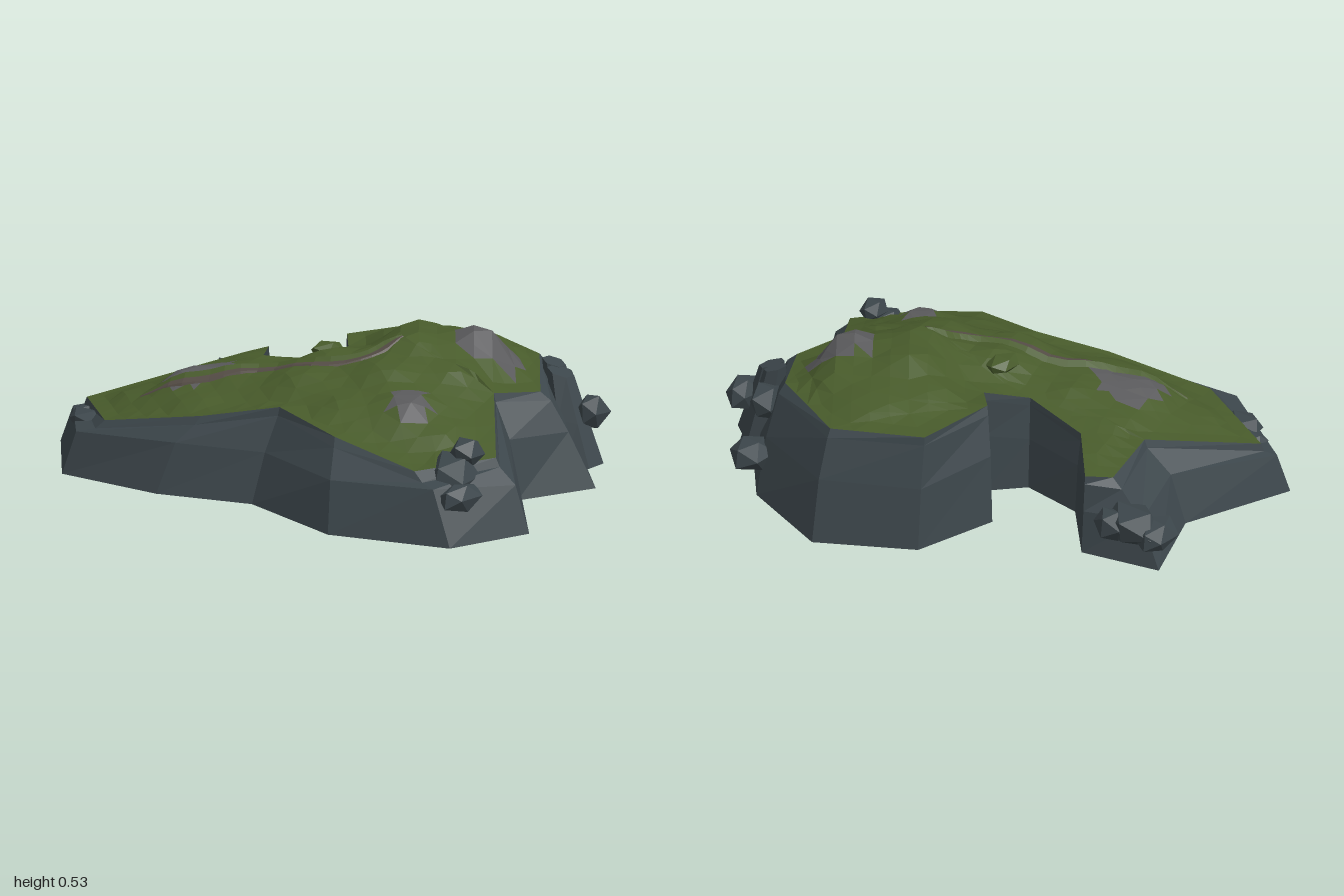
import * as THREE from 'three';

const mat = (color) => new THREE.MeshStandardMaterial({ color, flatShading: true, roughness: 1, side: THREE.DoubleSide });
const CLIFF = mat(0x3c464b), GRASS = mat(0x485b2b), STONE = mat(0x5a5a5c), PATH = mat(0x544c45);

// Shoreline corners: foot x, foot z, grass rim x, grass rim z, rim height
const CORNERS = [
  [0.13, -0.81, 0.13, -0.69, 0.41], [-0.19, -0.61, -0.16, -0.53, 0.41], [-0.28, -0.31, -0.2, -0.24, 0.42],
  [-0.13, -0.17, -0.11, -0.15, 0.4], [-0.24, -0.05, -0.22, -0.02, 0.36], [-0.47, -0.07, -0.47, -0.05, 0.32],
  [-0.64, -0.26, -0.63, -0.24, 0.3], [-0.91, -0.18, -0.69, -0.16, 0.28], [-0.82, 0.12, -0.64, 0.1, 0.29],
  [-1, 0.54, -0.89, 0.49, 0.185], [-0.65, 0.81, -0.54, 0.69, 0.2], [-0.22, 0.73, -0.14, 0.58, 0.27],
  [0.11, 0.58, 0.12, 0.45, 0.325], [0.52, 0.63, 0.43, 0.5, 0.29], [0.9, 0.46, 0.73, 0.44, 0.22],
  [1, 0.17, 0.87, 0.19, 0.24], [0.76, -0.08, 0.63, -0.1, 0.36], [0.88, -0.38, 0.69, -0.29, 0.34],
  [0.5, -0.72, 0.49, -0.55, 0.4],
];
// Hill heights: x, z, y
const HILL = [
  [0.15, -0.25, 0.54], [0.4, -0.3, 0.54], [0.25, -0.1, 0.53], [-0.03, -0.3, 0.48], [0.1, -0.5, 0.47],
  [0.32, -0.48, 0.48], [0.5, -0.1, 0.46], [0.3, 0.1, 0.46], [0, 0.05, 0.46], [0.05, 0.25, 0.42],
  [0.5, 0.2, 0.39], [0.68, 0.2, 0.31], [0.3, 0.33, 0.37], [-0.25, 0.27, 0.38], [-0.3, 0.1, 0.39],
  [-0.5, 0.1, 0.34], [-0.45, 0.35, 0.34], [-0.65, 0.45, 0.25], [-0.25, 0.5, 0.31], [-0.55, -0.05, 0.32],
];
// Bare stone patches: x, z, radius
const PATCHES = [[0.43, -0.3, 0.15], [0.51, 0.21, 0.1], [-0.42, 0.33, 0.16]];

const N = CORNERS.length, STEPS = 16;
const samples = HILL.map(([x, z, y]) => [x, z, y, 5, 0.006]);
CORNERS.forEach(([, , x, z, y], i) => {
  const n = CORNERS[(i + 1) % N];
  for (let k = 0; k < STEPS; k++) {
    const t = k / STEPS;
    samples.push([x + (n[2] - x) * t, z + (n[3] - z) * t, y + (n[4] - y) * t, 0.6, 1e-7]);
  }
});

// Ground height by weighted distance: exact on the rim, smoothed on the hill
function ground(x, z) {
  let sum = 0, total = 0;
  for (const [sx, sz, sy, k, soft] of samples) {
    const w = k / ((x - sx) ** 2 + (z - sz) ** 2 + soft) ** 1.7;
    sum += w * sy;
    total += w;
  }
  let y = sum / total;
  for (const [px, pz, r] of PATCHES) y += 0.02 * Math.max(0, 1 - Math.hypot(x - px, z - pz) / r);
  return y;
}

function meshFrom(name, points, material) {
  const geometry = new THREE.BufferGeometry().setFromPoints(points);
  geometry.computeVertexNormals();
  const mesh = new THREE.Mesh(geometry, material);
  mesh.name = name;
  return mesh;
}

const quad = (out, a, b, c, d) => out.push(a, b, c, a, c, d);

// Grass top and stone patches: the rim polygon, halved along long edges into facets
function addHill(group) {
  const flat = CORNERS.map((c) => new THREE.Vector2(c[2], -c[3]));
  const grass = [], stone = [];
  const split = (a, b, c) => {
    const ab = a.distanceTo(b), bc = b.distanceTo(c), ca = c.distanceTo(a);
    const longest = Math.max(ab, bc, ca);
    if (longest > ab) return longest === bc ? split(b, c, a) : split(c, a, b);
    if (longest > 0.1) {
      const m = a.clone().add(b).multiplyScalar(0.5);
      split(a, m, c);
      split(m, b, c);
      return;
    }
    const cx = (a.x + b.x + c.x) / 3, cz = -(a.y + b.y + c.y) / 3;
    const bare = PATCHES.some(([x, z, r]) => Math.hypot(cx - x, cz - z) < r * 0.85);
    for (const p of [a, b, c]) (bare ? stone : grass).push(new THREE.Vector3(p.x, ground(p.x, -p.y), -p.y));
  };
  for (const [a, b, c] of THREE.ShapeUtils.triangulateShape(flat, [])) split(flat[a], flat[b], flat[c]);
  group.add(meshFrom('grassHill', grass, GRASS), meshFrom('stonePatches', stone, STONE));
}

// Cliff: a steep lower wall, a ledge and a sloping shoulder up to the grass
function addCliff(group) {
  const ring = (t, height) => CORNERS.map(([fx, fz, rx, rz, ry], i) => {
    const s = t(i);
    return new THREE.Vector3(fx + (rx - fx) * s, height(ry, i), fz + (rz - fz) * s);
  });
  const rings = [
    ring(() => 0, () => 0),
    ring((i) => 0.42 + 0.08 * Math.sin(i * 2.3), (y, i) => Math.min(y - 0.04, 0.17 + Math.max(0, y - 0.3) * 0.6 + 0.012 * Math.sin(i * 4.1))),
    ring((i) => 0.86 + 0.08 * Math.sin(i * 1.7), (y) => y - 0.03),
    ring(() => 1, (y) => y),
  ];
  const wall = [];
  for (let r = 0; r < rings.length - 1; r++) {
    for (let i = 0; i < N; i++) {
      const j = (i + 1) % N;
      quad(wall, rings[r][i], rings[r][j], rings[r + 1][j], rings[r + 1][i]);
    }
  }
  const foot = rings[0];
  const tris = THREE.ShapeUtils.triangulateShape(foot.map((p) => new THREE.Vector2(p.x, -p.z)), []);
  const under = tris.flatMap(([a, b, c]) => [foot[c], foot[b], foot[a]]);
  group.add(meshFrom('cliff', wall, CLIFF), meshFrom('underside', under, CLIFF));
}

// Narrow footpath winding up the hill, with a low stone bank beside it
function addPath(group) {
  const curve = new THREE.CatmullRomCurve3([
    [-0.56, 0.5], [-0.4, 0.44], [-0.28, 0.36], [-0.14, 0.25], [0.06, 0.18], [0.18, 0.08], [0.22, 0], [0.24, -0.06],
  ].map(([x, z]) => new THREE.Vector3(x, 0, z)));
  const strip = (name, profile, material) => {
    const rows = [];
    for (let i = 0; i <= 20; i++) {
      const p = curve.getPoint(i / 20), t = curve.getTangent(i / 20);
      const taper = Math.min(1, 0.2 + Math.min(i, 20 - i) / 4);
      rows.push(profile.map(([side, up]) => {
        const x = p.x - t.z * side * taper, z = p.z + t.x * side * taper;
        return new THREE.Vector3(x, ground(x, z) + up * taper, z);
      }));
    }
    const out = [];
    for (let i = 0; i < 20; i++) {
      for (let k = 0; k < profile.length - 1; k++) quad(out, rows[i][k], rows[i][k + 1], rows[i + 1][k + 1], rows[i + 1][k]);
    }
    group.add(meshFrom(name, out, material));
  };
  strip('footpath', [[-0.013, 0.006], [0.013, 0.006], [0.025, -0.01]], PATH);
  strip('pathBank', [[-0.06, -0.005], [-0.03, 0.017], [-0.013, 0.005]], GRASS);
}

// Boulders: uneven faceted lumps. x, y, z, half sizes
const BOULDERS = [
  [0.54, 0.16, -0.69, 0.08, 0.06, 0.08], [0.58, 0.29, -0.56, 0.06, 0.07, 0.07], [0.77, 0.24, -0.5, 0.05, 0.07, 0.07],
  [0.79, 0.19, 0.31, 0.09, 0.08, 0.1], [0.81, 0.26, 0.27, 0.05, 0.05, 0.06], [0.87, 0.15, 0.37, 0.05, 0.05, 0.09],
  [-0.8, 0.15, -0.19, 0.11, 0.07, 0.08], [-0.89, 0.14, -0.18, 0.06, 0.06, 0.08], [-0.74, 0.16, -0.24, 0.06, 0.06, 0.05],
  [-0.74, 0.15, 0.62, 0.08, 0.04, 0.05], [-0.83, 0.15, 0.55, 0.04, 0.03, 0.04],
];
// Leaning rock buttresses: foot x, z, top x, y, z, foot radius
const BUTTRESSES = [
  [0.76, -0.44, 0.66, 0.38, -0.45, 0.09], [0.68, -0.52, 0.6, 0.4, -0.49, 0.08],
];

function addRocks(group) {
  const rocks = new THREE.Group();
  rocks.name = 'rocks';
  const add = (name, geometry, material, x, y, z) => {
    geometry.computeVertexNormals();
    const rock = new THREE.Mesh(geometry, material);
    rock.name = name;
    rock.position.set(x, y, z);
    rocks.add(rock);
  };
  const lump = (w, h, d, seed) => {
    const geometry = new THREE.IcosahedronGeometry(1.08, 0);
    const pos = geometry.attributes.position, v = new THREE.Vector3();
    for (let i = 0; i < pos.count; i++) {
      v.fromBufferAttribute(pos, i);
      v.multiplyScalar(1 + 0.14 * Math.sin(v.x * 5 + v.y * 9 + v.z * 13 + seed * 2.4));
      pos.setXYZ(i, v.x, v.y, v.z);
    }
    return geometry.scale(w, h, d);
  };
  BOULDERS.forEach(([x, y, z, w, h, d], i) => add('boulder', lump(w, h, d, i), CLIFF, x, y, z));
  add('hillStone', lump(0.05, 0.03, 0.07, 4), GRASS, -0.06, ground(-0.06, 0.02), 0.02);

  for (const [fx, fz, tx, ty, tz, r] of BUTTRESSES) {
    const low = 0.06, height = ty - low;
    const geometry = new THREE.CylinderGeometry(r * 0.55, r, height, 6, 2);
    const pos = geometry.attributes.position;
    for (let i = 0; i < pos.count; i++) {
      const k = pos.getY(i) / height + 0.5;
      pos.setXYZ(i, pos.getX(i) + (tx - fx) * k, pos.getY(i) + pos.getX(i) * -0.3 * k, pos.getZ(i) + (tz - fz) * k);
    }
    add('buttress', geometry, CLIFF, fx, low + height / 2, fz);
  }
  group.add(rocks);
}

export function createModel() {
  const group = new THREE.Group();
  group.name = 'rockyIsland';
  addCliff(group);
  addHill(group);
  addPath(group);
  addRocks(group);
  return group;
}
